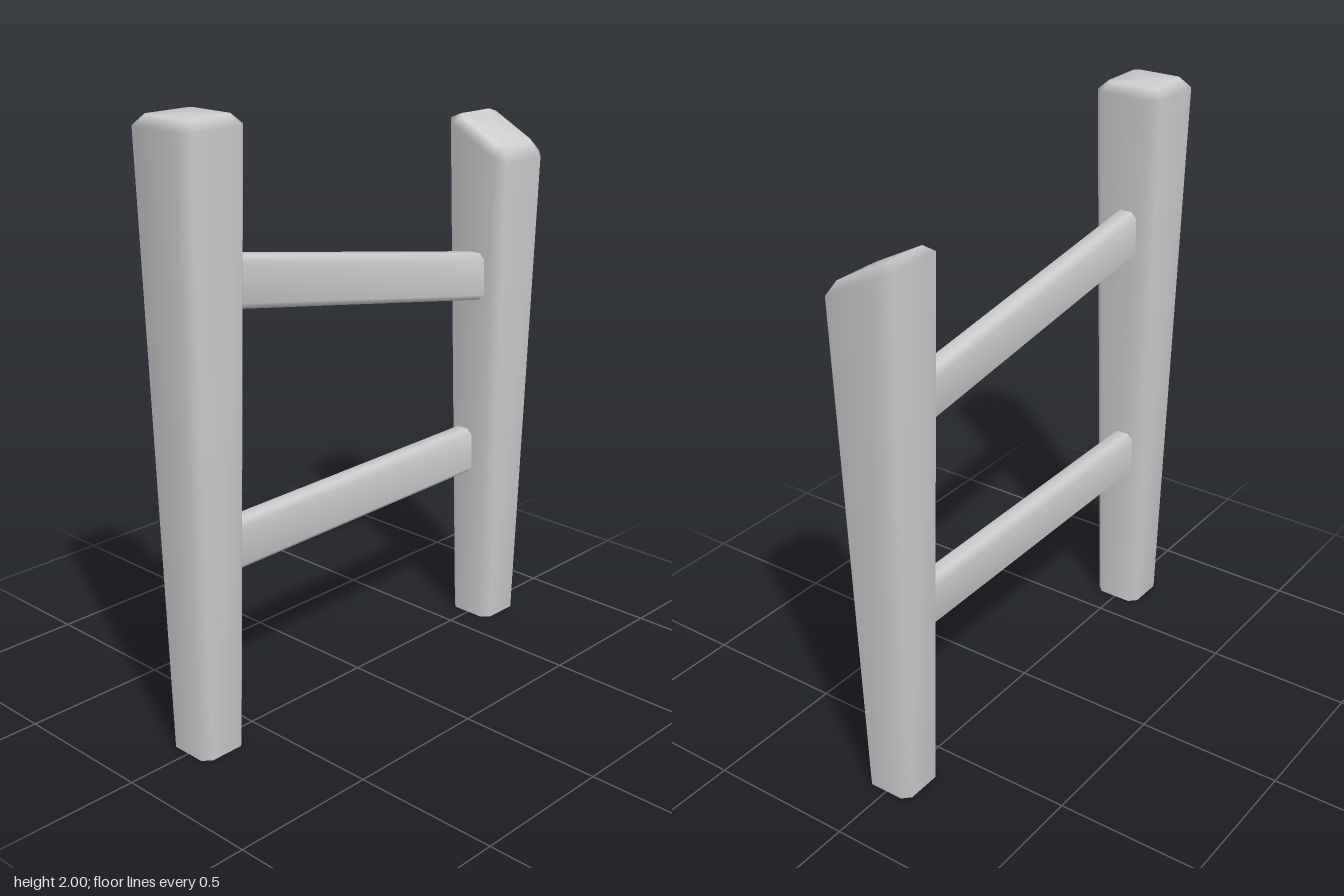
import * as THREE from 'three';

const material = new THREE.MeshStandardMaterial({ color: 0xcccccc, side: THREE.DoubleSide });

// Rectangle with cut corners, as [u, v] pairs
function section(hu, hv, c) {
  return [
    [hu, -hv + c], [hu, hv - c], [hu - c, hv], [-hu + c, hv],
    [-hu, hv - c], [-hu, -hv + c], [-hu + c, -hv], [hu - c, -hv],
  ];
}

// Skin a list of rings of Vector3, closing the last ring with a fan
function loft(name, rings, cap) {
  const n = rings[0].length;
  const points = rings.flat();
  const index = [];
  for (let r = 0; r < rings.length - 1; r++) {
    for (let i = 0; i < n; i++) {
      const a = r * n + i, b = r * n + (i + 1) % n;
      index.push(a, a + n, b, b, a + n, b + n);
    }
  }
  if (cap) {
    const last = rings[rings.length - 1];
    const start = points.length - n;
    const centre = last.reduce((s, p) => s.add(p), new THREE.Vector3()).divideScalar(n);
    points.push(centre);
    for (let i = 0; i < n; i++) index.push(points.length - 1, start + (i + 1) % n, start + i);
  }
  const geometry = new THREE.BufferGeometry().setFromPoints(points);
  geometry.setIndex(index);
  geometry.computeVertexNormals();
  const mesh = new THREE.Mesh(geometry, material);
  mesh.name = name;
  return mesh;
}

// Post widening upwards, open below, with a bevelled top that may slope to the front
function post(name, x, rimY, topY, slope) {
  const ring = (half, cut, y, s) =>
    section(half, half, cut).map(([u, v]) => new THREE.Vector3(x + u, y - s * v, v));
  return loft(name, [
    ring(0.086, 0.026, 0, 0),
    ring(0.1235, 0.03, rimY, slope),
    ring(0.092, 0.016, topY, slope),
  ], true);
}

// Rail between two [x, y, z] ends, which sit inside the posts
function rail(name, from, to) {
  const ring = ([x, y, z]) =>
    section(0.0425, 0.0825, 0.02).map(([u, v]) => new THREE.Vector3(x, y + v, z + u));
  return loft(name, [ring(from), ring(to)], false);
}

export function createModel() {
  const group = new THREE.Group();
  group.name = 'fenceSection';
  group.add(
    post('rightPost', -0.687, 1.97, 2, 0),
    post('leftPost', 0.685, 1.77, 1.802, 0.52),
    rail('upperRail', [-0.62, 1.504, -0.014], [0.62, 1.297, 0.016]),
    rail('lowerRail', [-0.62, 0.645, -0.017], [0.62, 0.649, -0.033]),
  );
  return group;
}
